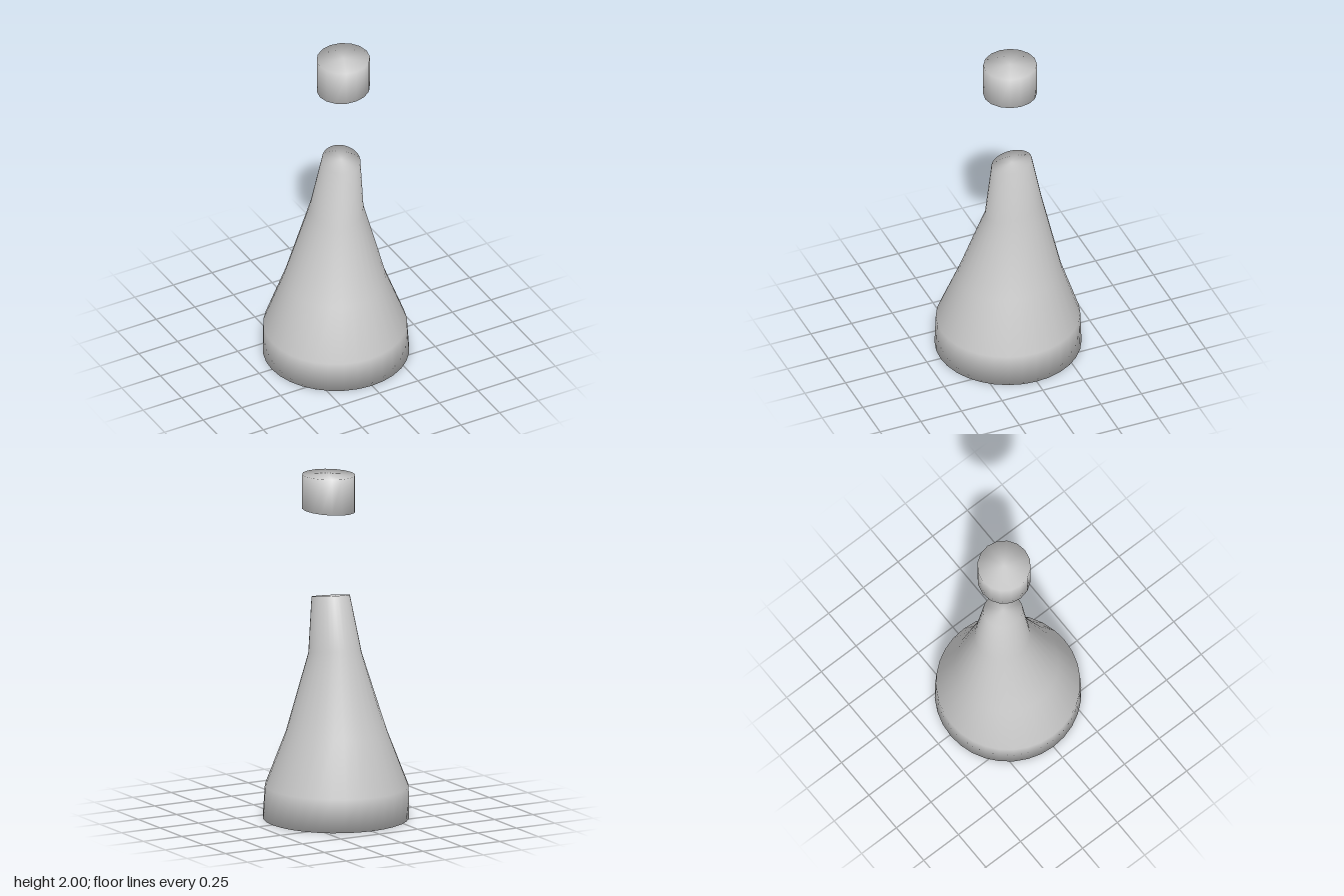
import * as THREE from 'three';

// Closed smooth loft through tilted elliptical rings.
// Ring: [centre x, centre y, centre z, radius x, radius z, rise towards +x, rise towards +z]
function loft(rings, sides) {
  const positions = [], index = [];
  for (const [cx, cy, cz, rx, rz, riseX, riseZ] of rings) {
    for (let i = 0; i < sides; i++) {
      const a = (i / sides) * Math.PI * 2;
      const s = Math.sin(a), c = Math.cos(a);
      positions.push(cx + rx * s, cy + riseX * s + riseZ * c, cz + rz * c);
    }
  }
  for (let r = 0; r < rings.length - 1; r++) {
    for (let i = 0; i < sides; i++) {
      const j = (i + 1) % sides;
      const a = r * sides + i, b = r * sides + j;
      index.push(a, b, b + sides, a, b + sides, a + sides);
    }
  }
  // End discs share the rim vertices, so the rims shade softly
  const last = rings.length - 1;
  const bottom = positions.length / 3, top = bottom + 1;
  positions.push(...rings[0].slice(0, 3), ...rings[last].slice(0, 3));
  for (let i = 0; i < sides; i++) {
    const j = (i + 1) % sides;
    index.push(bottom, j, i, top, last * sides + i, last * sides + j);
  }
  const geometry = new THREE.BufferGeometry();
  geometry.setAttribute('position', new THREE.Float32BufferAttribute(positions, 3));
  geometry.setIndex(index);
  geometry.computeVertexNormals();
  return geometry;
}

export function createModel() {
  const grey = new THREE.MeshStandardMaterial({ color: 0xcccccc });
  grey.name = 'light grey';
  const group = new THREE.Group();
  group.name = 'flaskWithFloatingCap';

  const add = (name, rings, sides) => {
    const mesh = new THREE.Mesh(loft(rings, sides), grey);
    mesh.name = name;
    group.add(mesh);
  };

  // Conical body with a slightly slanted mouth
  add('body', [
    [-0.003, 0.005, 0, 0.415, 0.416, 0, 0],
    [-0.007, 0.19, -0.002, 0.407, 0.409, 0.005, -0.005],
    [-0.003, 0.5, -0.01, 0.287, 0.297, 0.008, -0.01],
    [0.017, 0.965, -0.025, 0.147, 0.165, 0.02, -0.035],
    [0.035, 1.295, -0.006, 0.106, 0.116, 0.005, -0.022],
  ], 32);

  // Short cap hovering above the mouth
  add('cap', [
    [0.041, 1.79, 0.006, 0.151, 0.152, 0.01, 0.003],
    [0.041, 1.996, 0.006, 0.151, 0.152, 0.004, 0],
  ], 16);

  return group;
}
